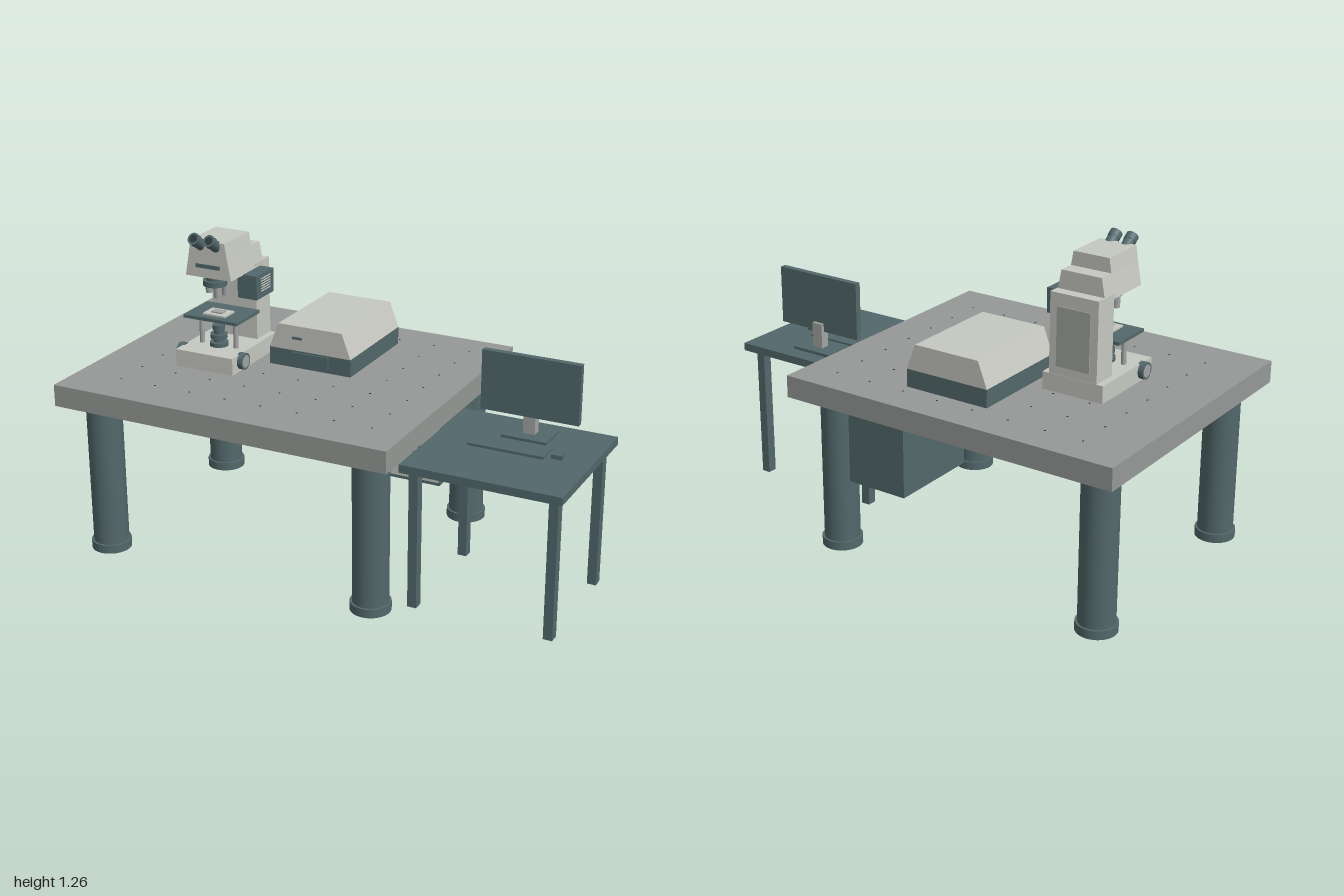
import * as THREE from 'three';

const mat = (name, color, side = THREE.FrontSide) => {
  const m = new THREE.MeshStandardMaterial({ color, side });
  m.name = name;
  return m;
};

export function createModel() {
  const model = new THREE.Group();
  model.name = 'microscopeWorkstation';
  const dark = mat('slateTeal', 0x53686b);
  const light = mat('paleGrey', 0xc6c8c1);
  const stone = mat('tableGrey', 0x959996);
  const metal = mat('metalGrey', 0xa2a5a3);
  const black = mat('charcoal', 0x2f3a3d);

  const group = (name) => {
    const g = new THREE.Group();
    g.name = name;
    model.add(g);
    return g;
  };
  const add = (parent, name, geo, material, x = 0, y = 0, z = 0) => {
    const m = new THREE.Mesh(geo, material);
    m.name = name;
    m.position.set(x, y, z);
    parent.add(m);
    return m;
  };
  // Box given by its min and max on each axis
  const box = (parent, name, material, x0, x1, y0, y1, z0, z1) =>
    add(parent, name, new THREE.BoxGeometry(x1 - x0, y1 - y0, z1 - z0), material,
      (x0 + x1) / 2, (y0 + y1) / 2, (z0 + z1) / 2);
  // Upright cylinder between two heights
  const post = (parent, name, material, x, z, y0, y1, r, rTop = r, sides = 32) =>
    add(parent, name, new THREE.CylinderGeometry(rTop, r, y1 - y0, sides), material, x, (y0 + y1) / 2, z);
  // Prism with a tapered front outline, running along z
  const wedge = (parent, name, material, b0, b1, t0, t1, y0, y1, z0, z1) => {
    const s = new THREE.Shape([[b0, y0], [b1, y0], [t1, y1], [t0, y1]].map((p) => new THREE.Vector2(...p)));
    return add(parent, name, new THREE.ExtrudeGeometry(s, { depth: z1 - z0, bevelEnabled: false }), material, 0, 0, z0);
  };

  // Optical table with round legs
  const table = group('opticalTable');
  box(table, 'tableTop', stone, -1, 0.41, 0.63, 0.717, -0.59, 0.59);
  for (const x of [-0.873, 0.283]) for (const z of [-0.445, 0.45]) {
    post(table, 'tableLeg', dark, x, z, 0.03, 0.61, 0.07);
    post(table, 'legFoot', dark, x, z, 0, 0.035, 0.079);
    post(table, 'legCollar', dark, x, z, 0.607, 0.63, 0.079);
  }
  // Grid of mounting holes
  for (let i = 0; i < 8; i++) for (let j = 0; j < 7; j++) {
    post(table, 'mountingHole', black, -0.805 + i * 0.154, -0.46 + j * 0.147, 0.716, 0.718, 0.004, 0.004, 8);
  }

  // Controller cabinet hung under the table
  const cabinet = group('controllerCabinet');
  box(cabinet, 'cabinetBody', dark, -0.04, 0.32, 0.287, 0.63, -0.47, -0.082);
  box(cabinet, 'cabinetFront', light, -0.036, 0.316, 0.302, 0.622, -0.082, -0.076);
  for (let i = 0; i < 9; i++) {
    const x = 0.048 + i * 0.0225;
    box(cabinet, 'ventSlot', dark, x, x + 0.01, 0.405, 0.49, -0.077, -0.073);
  }

  // Side desk
  const desk = group('sideDesk');
  box(desk, 'deskTop', dark, 0.375, 1, 0.558, 0.59, -0.183, 0.413);
  for (const x of [0.417, 0.957]) for (const z of [-0.115, 0.357]) {
    box(desk, 'deskLeg', dark, x - 0.018, x + 0.018, 0, 0.559, z - 0.02, z + 0.02);
  }

  // Monitor, keyboard and mouse
  const computer = group('computer');
  box(computer, 'monitorScreen', dark, 0.505, 0.895, 0.67, 0.907, -0.056, -0.03);
  box(computer, 'monitorNeck', metal, 0.677, 0.725, 0.6, 0.705, -0.07, -0.032);
  box(computer, 'monitorBase', dark, 0.608, 0.79, 0.59, 0.602, -0.115, 0.018);
  box(computer, 'keyboard', dark, 0.525, 0.825, 0.59, 0.6, 0.037, 0.14);
  box(computer, 'mouse', dark, 0.845, 0.888, 0.59, 0.607, 0.088, 0.117);

  // Light source unit with tapered lid
  const unit = group('lightSourceUnit');
  box(unit, 'unitBase', dark, -0.377, -0.022, 0.717, 0.788, -0.417, 0.013);
  wedge(unit, 'unitLid', light, -0.377, -0.022, -0.338, -0.06, 0.788, 0.89, -0.417, 0.013);
  box(unit, 'unitPanel', dark, -0.275, -0.117, 0.735, 0.782, 0.013, 0.02);
  box(unit, 'unitSlot', dark, -0.275, -0.232, 0.835, 0.845, 0.012, 0.017);

  // Microscope stand
  const scope = group('microscope');
  const cx = -0.565;
  const cz = 0.085;
  box(scope, 'scopeBase', light, cx - 0.128, cx + 0.128, 0.717, 0.786, -0.147, 0.203);
  box(scope, 'scopeColumn', light, cx - 0.101, cx + 0.101, 0.786, 1.1, -0.146, -0.04);
  box(scope, 'columnBackPanel', metal, cx - 0.07, cx + 0.07, 0.82, 1.05, -0.15, -0.145);
  for (const s of [-1, 1]) {
    const knob = post(scope, 'focusKnob', dark, cx + s * 0.135, 0.135, 0.744, 0.772, 0.033);
    knob.rotation.z = Math.PI / 2;
    const cap = post(scope, 'focusKnobCap', metal, cx + s * 0.147, 0.135, 0.755, 0.761, 0.025);
    cap.rotation.z = Math.PI / 2;
  }

  // Head, stepped at the back
  wedge(scope, 'headLower', light, cx - 0.101, cx + 0.101, cx - 0.084, cx + 0.084, 1.08, 1.172, -0.102, 0.15);
  wedge(scope, 'headUpper', light, cx - 0.084, cx + 0.084, cx - 0.075, cx + 0.075, 1.172, 1.227, -0.038, 0.15);
  box(scope, 'headSlot', dark, cx - 0.053, cx + 0.053, 1.119, 1.134, 0.149, 0.156);
  for (const s of [-1, 1]) {
    const tube = new THREE.Group();
    tube.name = 'eyepiece';
    tube.position.set(cx + s * 0.034, 1.2, 0.13);
    tube.rotation.x = 0.95;
    post(tube, 'eyepieceTube', dark, 0, 0, -0.04, 0.072, 0.022);
    post(tube, 'eyepieceRim', dark, 0, 0, 0.05, 0.078, 0.024);
    post(tube, 'eyepieceLens', black, 0, 0, 0.077, 0.079, 0.016);
    scope.add(tube);
  }

  // Lamp housing on the side
  box(scope, 'lampHousing', dark, -0.49, -0.405, 0.986, 1.082, -0.075, 0.058);
  for (let i = 0; i < 6; i++) {
    const y = 1.012 + i * 0.01;
    box(scope, 'lampVent', light, -0.406, -0.403, y, y + 0.004, -0.048, 0.025);
  }

  // Nosepiece and objectives
  post(scope, 'nosepiece', dark, cx, 0.1, 1.04, 1.062, 0.048);
  post(scope, 'nosepieceMount', dark, cx, 0.1, 1.06, 1.082, 0.035);
  for (const [dx, z, y] of [[-0.037, 0.085, 1.0], [0, 0.085, 0.982], [0.037, 0.085, 1.0]]) {
    post(scope, 'objective', metal, cx + dx, z, y, 1.042, 0.014, 0.016, 24);
  }

  // Stage on two posts, with a specimen holder
  box(scope, 'stage', dark, cx - 0.12, cx + 0.12, 0.902, 0.915, -0.03, 0.15);
  box(scope, 'specimenHolder', light, cx - 0.05, cx + 0.05, 0.915, 0.922, 0.045, 0.12);
  box(scope, 'specimenSlide', metal, cx - 0.025, cx + 0.025, 0.922, 0.927, 0.065, 0.1);
  for (const s of [-1, 1]) post(scope, 'stagePost', metal, cx + s * 0.077, cz, 0.786, 0.903, 0.01, 0.01, 20);

  // Condenser stack under the stage
  post(scope, 'condenserCore', dark, cx, cz, 0.786, 0.872, 0.02);
  for (const [y0, y1, r] of [[0.786, 0.802, 0.037], [0.818, 0.836, 0.034], [0.852, 0.872, 0.024]]) {
    post(scope, 'condenserRing', dark, cx, cz, y0, y1, r);
  }

  return model;
}
